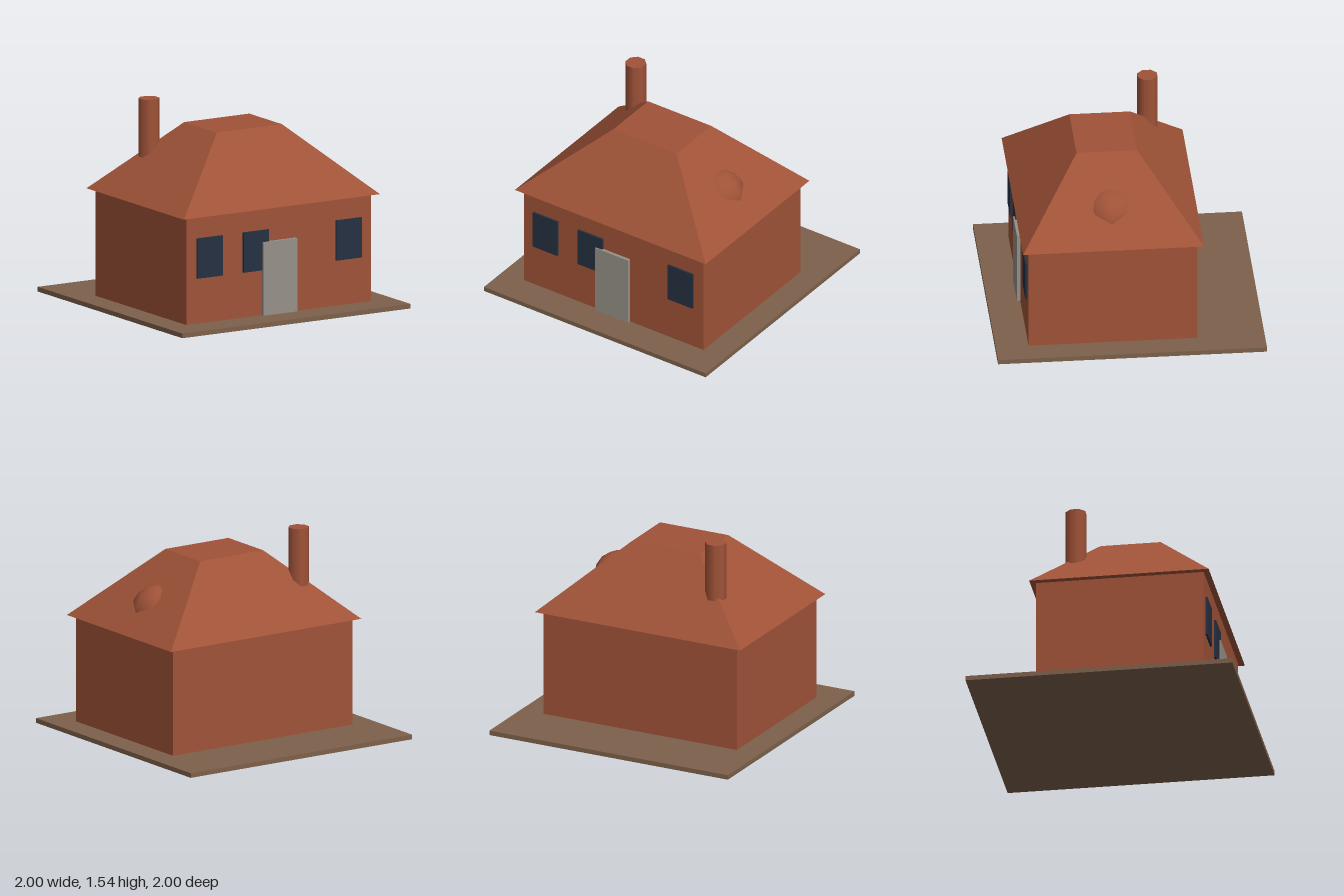
import * as THREE from 'three';

function material(name, color) {
  const m = new THREE.MeshStandardMaterial({ color });
  m.name = name;
  return m;
}

export function createModel() {
  const house = new THREE.Group();
  house.name = 'house';

  const brick = material('brick', 0xa05338);
  const earth = material('earth', 0x7d614b);
  const glass = material('darkGlass', 0x253141);
  const stone = material('doorGrey', 0x969088);

  function add(name, geometry, mat, x, y, z) {
    const mesh = new THREE.Mesh(geometry, mat);
    mesh.name = name;
    mesh.position.set(x, y, z);
    house.add(mesh);
    return mesh;
  }

  // box given by its lower and upper bounds
  function addBox(name, mat, [x0, y0, z0], [x1, y1, z1]) {
    const geometry = new THREE.BoxGeometry(x1 - x0, y1 - y0, z1 - z0);
    return add(name, geometry, mat, (x0 + x1) / 2, (y0 + y1) / 2, (z0 + z1) / 2);
  }

  // ground slab and walls
  addBox('groundSlab', earth, [-1, 0, -1], [1, 0.035, 1]);
  addBox('walls', brick, [-0.81, 0.035, -0.5], [0.81, 0.845, 0.755]);

  // hipped roof: a box whose top face is drawn in
  const roof = addBox('roof', brick, [-0.86, 0.845, -0.545], [0.86, 1.36, 0.8]);
  const p = roof.geometry.attributes.position;
  for (let i = 0; i < p.count; i++) {
    if (p.getY(i) > 0) {
      p.setX(i, Math.sign(p.getX(i)) * 0.285);
      p.setZ(i, Math.sign(p.getZ(i)) * 0.225 - 0.0025);
    }
  }
  roof.geometry.computeVertexNormals();

  // eight-sided chimney, sunk into the rear hip
  const chimney = add('chimney', new THREE.CylinderGeometry(0.079, 0.079, 0.54, 8), brick, -0.5, 1.27, -0.25);
  chimney.rotation.y = Math.PI / 8;

  // round dormer bulging from the left slope
  add('roofDormer', new THREE.SphereGeometry(0.215, 8, 8), brick, 0.5, 0.95, 0.125);

  // door and front windows
  addBox('door', stone, [-0.15, 0.035, 0.75], [0.147, 0.59, 0.78]);
  for (const x of [-0.61, -0.205, 0.608]) {
    addBox('window', glass, [x - 0.111, 0.377, 0.75], [x + 0.111, 0.68, 0.77]);
  }

  return house;
}
